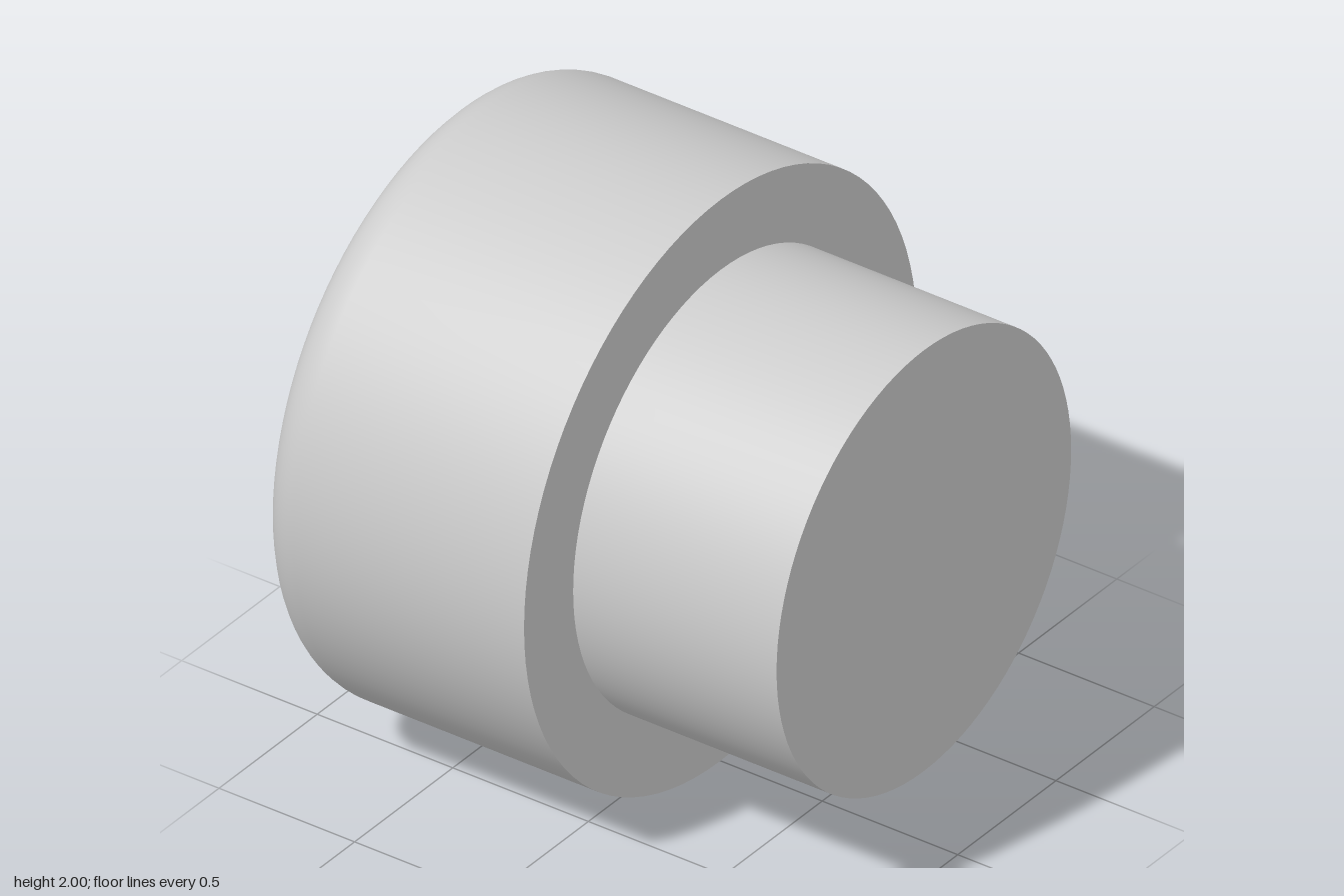
import * as THREE from 'three';
import { toCreasedNormals } from 'three/addons/utils/BufferGeometryUtils.js';

const SEGMENTS = 96;
const END = 0.875;          // half of the overall length
const STEP = 0.125;         // where the head meets the shank
const HEAD_R = 1, SHANK_R = 0.75, FILLET = 0.15;
const SOCKET_R = 0.755, SOCKET_DEPTH = 0.8, SOCKET_TURN = THREE.MathUtils.degToRad(7);

export function createModel() {
  const model = new THREE.Group();
  const bolt = new THREE.Group();
  bolt.name = 'bolt';
  model.add(bolt);
  const material = new THREE.MeshStandardMaterial({ color: 0xcccccc });

  const add = (name, geometry, mat = material) => {
    const mesh = new THREE.Mesh(geometry, mat);
    mesh.name = name;
    bolt.add(mesh);
    return mesh;
  };
  const lathe = (points) => toCreasedNormals(
    new THREE.LatheGeometry(points.map(([r, y]) => new THREE.Vector2(r, y)), SEGMENTS), 0.6);
  // Flat shape turned to face the socket end
  const endFace = (shape, y) =>
    new THREE.ShapeGeometry(shape, SEGMENTS).rotateX(Math.PI / 2).translate(0, y, 0);

  // Head: rounded outer edge, straight side, flat shoulder
  const headProfile = [];
  for (let i = 0; i <= 10; i++) {
    const a = (i / 10) * Math.PI / 2;
    headProfile.push([HEAD_R - FILLET + FILLET * Math.sin(a), -END + FILLET - FILLET * Math.cos(a)]);
  }
  headProfile.push([HEAD_R, STEP], [SHANK_R, STEP]);
  add('head', lathe(headProfile));

  // Shank with its closed end
  add('shank', lathe([[SHANK_R, STEP], [SHANK_R, END], [0, END]]));

  // Six-sided socket: rim face, walls and floor
  const hexagon = Array.from({ length: 6 }, (_, i) => {
    const a = SOCKET_TURN + i * Math.PI / 3;
    return new THREE.Vector2(SOCKET_R * Math.sin(a), SOCKET_R * Math.cos(a));
  });
  const rim = new THREE.Shape().absarc(0, 0, HEAD_R - FILLET, 0, Math.PI * 2);
  rim.holes.push(new THREE.Path(hexagon));
  add('headFace', endFace(rim, -END));

  const wallMaterial = new THREE.MeshStandardMaterial({
    color: 0xcccccc, flatShading: true, side: THREE.BackSide,
  });
  const walls = new THREE.CylinderGeometry(SOCKET_R, SOCKET_R, SOCKET_DEPTH, 6, 1, true, SOCKET_TURN);
  add('socketWalls', walls.translate(0, -END + SOCKET_DEPTH / 2, 0), wallMaterial);
  add('socketFloor', endFace(new THREE.Shape(hexagon), -END + SOCKET_DEPTH));

  // Lay the axis along x, resting on the ground
  bolt.rotation.z = -Math.PI / 2;
  bolt.position.y = HEAD_R;
  return model;
}
